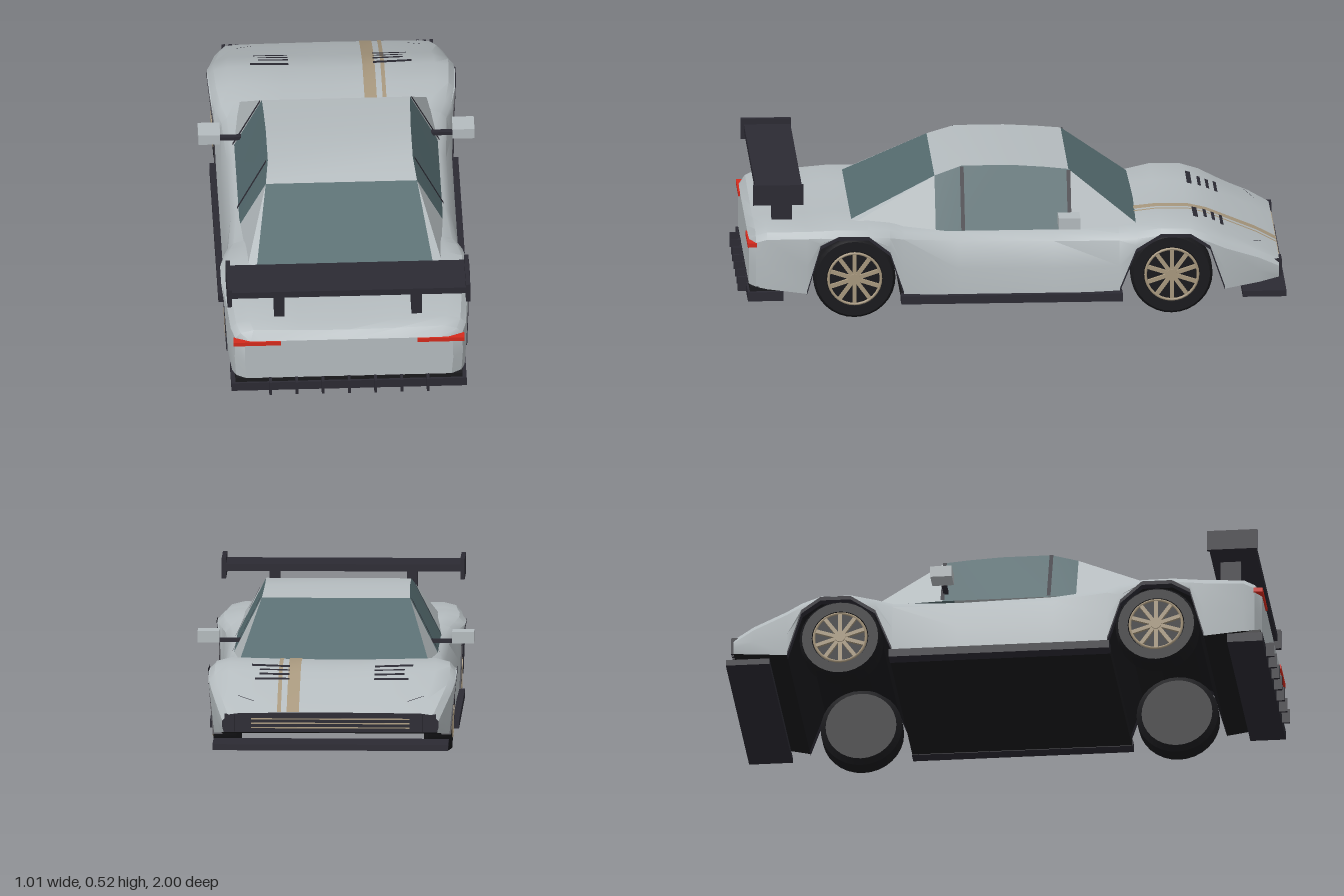
import * as THREE from 'three';
import { toCreasedNormals } from 'three/addons/utils/BufferGeometryUtils.js';

const mat = (name, color, side = THREE.FrontSide) =>
  Object.assign(new THREE.MeshStandardMaterial({ color, side }), { name });

// Body stations: z, shoulder half width, centre top, crest, shoulder, sill height, sill half width
const STATIONS = [
  [-0.975, 0.395, 0.195, 0.192, 0.180, 0.122, 0.390],
  [-0.90, 0.415, 0.234, 0.232, 0.218, 0.108, 0.410],
  [-0.775, 0.440, 0.284, 0.286, 0.263, 0.090, 0.430],
  [-0.72, 0.450, 0.305, 0.313, 0.289, 0.250, 0.445],
  [-0.65, 0.450, 0.320, 0.333, 0.314, 0.297, 0.450],
  [-0.54, 0.445, 0.322, 0.335, 0.316, 0.298, 0.446],
  [-0.45, 0.430, 0.315, 0.321, 0.300, 0.240, 0.438],
  [-0.39, 0.412, 0.308, 0.313, 0.290, 0.090, 0.432],
  [-0.15, 0.400, 0.308, 0.312, 0.288, 0.080, 0.432],
  [0.20, 0.402, 0.312, 0.316, 0.295, 0.080, 0.432],
  [0.40, 0.420, 0.325, 0.329, 0.308, 0.090, 0.435],
  [0.45, 0.435, 0.335, 0.339, 0.318, 0.240, 0.440],
  [0.53, 0.450, 0.340, 0.347, 0.326, 0.305, 0.450],
  [0.64, 0.450, 0.333, 0.345, 0.327, 0.305, 0.450],
  [0.705, 0.445, 0.327, 0.337, 0.323, 0.270, 0.443],
  [0.755, 0.440, 0.325, 0.335, 0.320, 0.095, 0.435],
  [0.90, 0.430, 0.322, 0.335, 0.317, 0.112, 0.425],
  [0.94, 0.415, 0.312, 0.320, 0.302, 0.118, 0.412],
  [0.964, 0.380, 0.286, 0.286, 0.278, 0.120, 0.375],
];

// Right half of a cross-section, from the centre line down to the sill
function halfSection([z, w, yc, crest, ys, yb, wb]) {
  const low = ys - 0.016;
  return [[0, yc], [0.18, yc + (crest - yc) * 0.4], [w * 0.84, crest], [w - 0.02, ys + 0.006],
    [w, low], [w * 0.4 + wb * 0.6 + 0.004, (low + yb) / 2], [wb, yb]].map(([x, y]) => [x, y, z]);
}

function fullSection(s) {
  const half = halfSection(s);
  return [...half.slice(1).reverse().map(([x, y, z]) => [-x, y, z]), ...half];
}

// Surface through rows of points
function grid(rows, crease = 0.55) {
  const n = rows[0].length, index = [];
  for (let r = 0; r < rows.length - 1; r++) {
    for (let c = 0; c < n - 1; c++) {
      const a = r * n + c, b = a + n;
      index.push(a, b, a + 1, b, b + 1, a + 1);
    }
  }
  const g = new THREE.BufferGeometry();
  g.setAttribute('position', new THREE.Float32BufferAttribute(rows.flat(2), 3));
  g.setIndex(index);
  return toCreasedNormals(g, crease);
}

// Height of the body's upper skin
function topY(x, z) {
  let i = 0;
  while (i < STATIONS.length - 2 && STATIONS[i + 1][0] < z) i++;
  const a = STATIONS[i], b = STATIONS[i + 1], t = (z - a[0]) / (b[0] - a[0]);
  const p = halfSection(a.map((v, k) => v + (b[k] - v) * t));
  let j = 0;
  while (j < 2 && p[j + 1][0] < Math.abs(x)) j++;
  return p[j][1] + (p[j + 1][1] - p[j][1]) * (Math.abs(x) - p[j][0]) / (p[j + 1][0] - p[j][0]);
}

// Thin decal lying on the upper skin
const patch = (xs, zs, lift = 0.003) => grid(zs.map(z => xs.map(x => [x, topY(x, z) + lift, z])));

export function createModel() {
  const D = THREE.DoubleSide;
  const paint = mat('silver paint', 0xb4bbbe, D);
  const glass = mat('tinted glass', 0x546a6e, D);
  const trim = mat('dark trim', 0x2b2a33, D);
  const rubber = mat('black rubber', 0x19191c, D);
  const gold = mat('pale gold', 0xa8987e, D);
  const red = mat('red light', 0xd42a1c);

  const model = new THREE.Group();
  model.name = 'raceCar';
  const add = (name, geometry, material, parent = model) => {
    const m = new THREE.Mesh(geometry, material);
    m.name = name;
    parent.add(m);
    return m;
  };
  // Box from its limits
  const box = (name, material, x0, x1, y0, y1, z0, z1) =>
    add(name, new THREE.BoxGeometry(Math.abs(x1 - x0), y1 - y0, z1 - z0), material)
      .position.set((x0 + x1) / 2, (y0 + y1) / 2, (z0 + z1) / 2);

  // Body shell, tail and nose panels, underside with arch tunnels, floor
  add('bodyShell', grid(STATIONS.map(fullSection)), paint);
  const cap = s => grid(halfSection(s).map(([x, y, z]) => [[-x, y, z], [x, y, z]]));
  add('tailPanel', cap(STATIONS[STATIONS.length - 1]), paint);
  add('nosePanel', cap(STATIONS[0]), trim);
  add('underside', grid(STATIONS.map(s => [[-s[6], s[5], s[0]], [s[6], s[5], s[0]]])), rubber);
  box('floor', rubber, -0.41, 0.41, 0.057, 0.09, -0.398, 0.408);

  // Splitter, grille and diffuser
  box('frontSplitter', trim, -0.43, 0.43, 0.058, 0.08, -1, -0.84);
  for (const y of [0.137, 0.153, 0.169]) box('grilleBar', gold, -0.29, 0.29, y, y + 0.004, -0.981, -0.975);
  box('rearDiffuser', trim, -0.43, 0.43, 0.068, 0.102, 0.84, 0.97);
  box('rearValance', rubber, -0.415, 0.415, 0.1, 0.119, 0.86, 0.962);
  for (let i = -3; i <= 3; i++) box('diffuserFin', trim, i * 0.096 - 0.005, i * 0.096 + 0.005, 0.068, 0.122, 0.88, 1);

  // Roof, running straight into the side windows
  const roofLine = [[-0.21, 0.508], [-0.12, 0.517], [0, 0.525], [0.18, 0.525], [0.28, 0.492]];
  const roofHalf = y => 0.265 + (0.525 - y) * 0.35;
  add('roof', grid(roofLine.map(([z, y]) => [[-roofHalf(y), y, z], [roofHalf(y), y, z]])), paint);

  // Windscreen and rear window
  const [frontZ, frontY] = roofLine[0], [rearZ, rearY] = roofLine[4];
  const frontX = roofHalf(frontY), rearX = roofHalf(rearY);
  add('windscreen', grid([[[-0.345, 0.312, -0.465], [0.345, 0.312, -0.465]],
    [[-frontX, frontY, frontZ], [frontX, frontY, frontZ]]]), glass);
  add('rearWindow', grid([[[-rearX, rearY, rearZ], [rearX, rearY, rearZ]],
    [[-0.322, 0.345, 0.587], [0.322, 0.345, 0.587]]]), glass);

  for (const s of [-1, 1]) {
    // Cabin side: windscreen pillar, side window, rear quarter panel
    const sill = z => [s * 0.372, 0.308, z];
    add('windscreenPillar', grid([[[s * 0.345, 0.312, -0.465], [s * frontX, frontY, frontZ]],
      [sill(frontZ), [s * frontX, frontY, frontZ]]]), paint);
    add('sideWindow', grid(roofLine.map(([z, y]) => [sill(z), [s * roofHalf(y), y, z]])), glass);
    add('quarterPanel', grid([[sill(rearZ), [s * rearX, rearY, rearZ]],
      [[s * 0.358, 0.335, 0.587], [s * 0.322, 0.345, 0.587]]]), paint);
    for (const [z, y] of [[-0.21, 0.508], [0.18, 0.525]]) {
      add('windowBar', grid([z - 0.007, z + 0.007].map(k =>
        [[s * 0.378, 0.31, k], [s * (roofHalf(y) + 0.006), y - 0.002, k]])), trim);
    }

    // Side skirt and wheel arch lips
    box('sideSkirt', trim, s * 0.4, s * 0.455, 0.055, 0.085, -0.4, 0.41);
    for (const [from, to] of [[2, 7], [10, 15]]) {
      add('archLip', grid(STATIONS.slice(from, to + 1).map(([z, , , , , yb, wb]) =>
        [[s * (wb - 0.03), yb - 0.004, z], [s * (wb + 0.005), yb - 0.004, z], [s * (wb + 0.006), yb + 0.01, z]])), trim);
    }

    // Mirror
    box('mirrorArm', trim, s * 0.345, s * 0.43, 0.343, 0.357, -0.208, -0.19);
    box('mirror', paint, s * 0.425, s * 0.505, 0.346, 0.388, -0.242, -0.163);

    // Bonnet louvres and headlight slits
    for (const [z, x, t] of [[-0.772, 0.28, 0.006], [-0.742, 0.265, 0.006], [-0.712, 0.265, 0.006], [-0.675, 0.295, 0.009]]) {
      add('bonnetLouvre', patch([s * 0.155, s * 0.18, s * x], [z - t, z + t], 0.004), trim);
    }
    add('headlightSlit', grid([[[0.28, -0.917], [0.34, -0.884]], [[0.28, -0.914], [0.34, -0.881]]].map(r =>
      r.map(([x, z]) => [s * x, topY(x, z) + 0.004, z]))), trim);

    // Tail light and wing supports
    box('tailLight', red, s * 0.25, s * 0.422, 0.27, 0.286, 0.936, 0.97);
    box('wingPost', trim, s * 0.232, s * 0.27, 0.32, 0.468, 0.8, 0.875);
    box('wingEndPlate', trim, s * 0.428, s * 0.444, 0.436, 0.512, 0.768, 0.952);

    // Nose corner slats
    for (const x of [0.33, 0.355, 0.38]) box('noseSlat', trim, s * (x - 0.006), s * (x + 0.006), 0.125, 0.188, -0.985, -0.95);

    // Wheels, built facing +x and turned for the other side
    for (const z of [-0.58, 0.58]) {
      const wheel = new THREE.Group();
      wheel.name = 'wheel';
      wheel.position.set(s * 0.385, 0.15, z);
      if (s < 0) wheel.rotation.y = Math.PI;
      model.add(wheel);
      const profile = [[0.001, -0.05], [0.13, -0.05], [0.15, -0.035], [0.15, 0.035], [0.14, 0.05],
        [0.104, 0.05], [0.1, 0.04], [0.001, 0.04]].map(p => new THREE.Vector2(...p));
      add('tyre', toCreasedNormals(new THREE.LatheGeometry(profile, 32), 0.6), rubber, wheel).rotation.z = -Math.PI / 2;
      const rim = add('rim', new THREE.TorusGeometry(0.096, 0.005, 6, 32), gold, wheel);
      rim.rotation.y = Math.PI / 2;
      rim.position.x = 0.05;
      const hub = add('hub', new THREE.CylinderGeometry(0.02, 0.02, 0.02, 16), gold, wheel);
      hub.rotation.z = Math.PI / 2;
      hub.position.x = 0.048;
      for (let i = 0; i < 10; i++) {
        const a = i * Math.PI / 5;
        const spoke = add('spoke', new THREE.BoxGeometry(0.012, 0.085, 0.014), gold, wheel);
        spoke.position.set(0.047, Math.cos(a) * 0.054, Math.sin(a) * 0.054);
        spoke.rotation.x = a;
      }
    }
  }

  // Rear wing
  box('wingBlade', trim, -0.43, 0.43, 0.465, 0.491, 0.77, 0.94);

  // Bonnet stripes
  const stripeZ = STATIONS.map(r => r[0]).filter(z => z <= -0.44);
  add('wideStripe', patch([0.115, 0.16], stripeZ), gold);
  add('narrowStripe', patch([0.181, 0.195], stripeZ), gold);

  return model;
}
